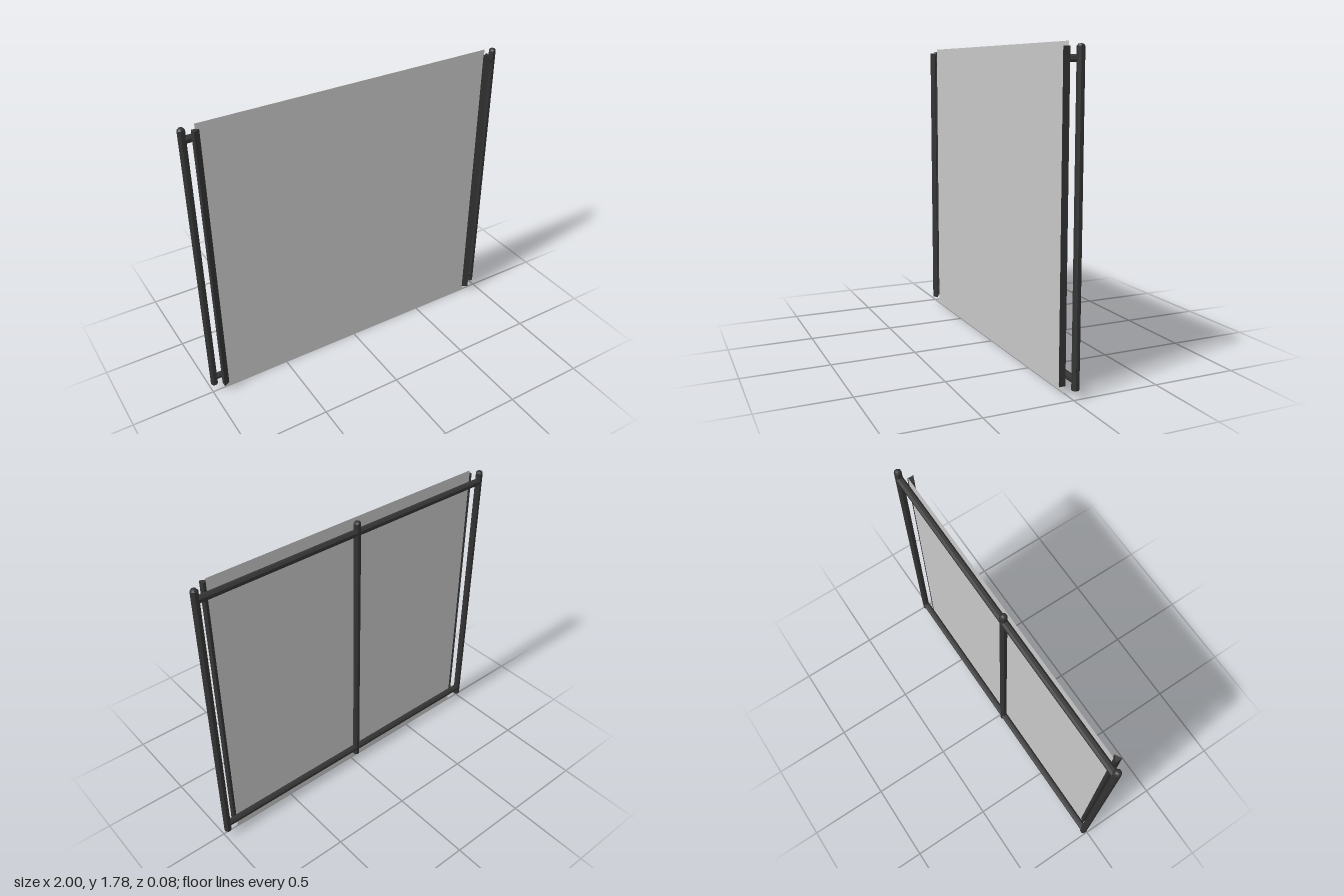
import * as THREE from 'three';

export function createModel() {
  const group = new THREE.Group();
  const steel = new THREE.MeshStandardMaterial({ color: 0x343434, flatShading: true });
  steel.name = 'dark steel';
  const sheet = new THREE.MeshStandardMaterial({ color: 0xc8c8c8, side: THREE.DoubleSide });
  sheet.name = 'grey sheet';

  const add = (name, geometry, material, x, y, z) => {
    const mesh = new THREE.Mesh(geometry, material);
    mesh.name = name;
    mesh.position.set(x, y, z);
    group.add(mesh);
    return mesh;
  };

  // Flat panel
  add('panel', new THREE.PlaneGeometry(1.815, 1.785), sheet, -0.007, 0.8925, 0);

  // Upright tubes with shallow domed tops
  const r = 0.021, backZ = -0.02;
  const profile = [[0, 0.045], [r, 0.045], [r, 1.758], [0.014, 1.768], [0, 1.772]]
    .map(([x, y]) => new THREE.Vector2(x, y));
  const post = new THREE.LatheGeometry(profile, 8, Math.PI / 8);
  for (const [name, x] of [['leftPost', 0.979], ['rightPost', -0.979], ['middlePost', -0.03]]) {
    add(name, post, steel, x, 0, backZ);
  }

  // Horizontal rails behind the panel
  const rail = new THREE.CylinderGeometry(r, r, 1.956, 8);
  rail.rotateY(Math.PI / 8).rotateZ(Math.PI / 2);
  add('topRail', rail, steel, 0, 1.702, backZ);
  add('bottomRail', rail, steel, 0, 0.095, backZ);

  // Triangular edge strips in front, pointing inwards
  for (const [name, x, dir] of [['leftEdgeStrip', 0.915, -1], ['rightEdgeStrip', -0.935, 1]]) {
    const tri = new THREE.Shape([
      new THREE.Vector2(0, 0),
      new THREE.Vector2(dir * 0.036, -0.019),
      new THREE.Vector2(0, -0.038),
    ]);
    const strip = new THREE.ExtrudeGeometry(tri, { depth: 1.715, bevelEnabled: false });
    strip.rotateX(-Math.PI / 2);
    add(name, strip, steel, x, 0.045, 0.001);
  }
  return group;
}
